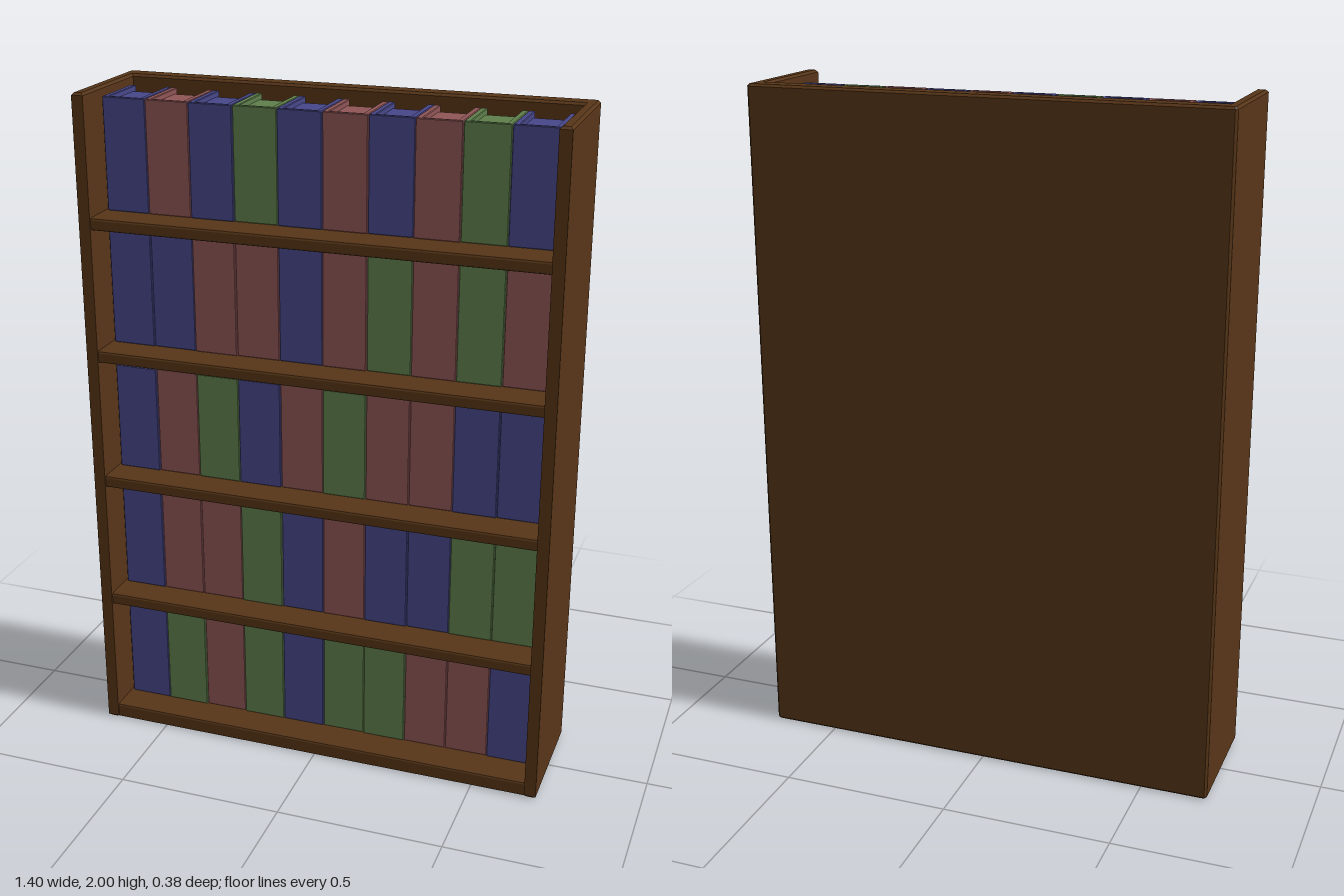
import * as THREE from 'three';
import { RoundedBoxGeometry } from 'three/addons/geometries/RoundedBoxGeometry.js';

const mat = (color) => new THREE.MeshStandardMaterial({ color, flatShading: true });
const wood = mat(0x573517);
const covers = { B: mat(0x48478a), R: mat(0x8f5556), G: mat(0x5f7f4b) };

// Upright U-shaped wall standing on y = 0: two sides joined by one closed side at zClosed.
function uWall(width, zClosed, zOpen, side, closed, height, bevel) {
  const w = width / 2, dir = Math.sign(zOpen - zClosed), zi = zClosed + dir * closed;
  const c = bevel; // chamfer of the outer upright corners
  const plan = [
    [-w, zOpen], [-w, zClosed + dir * c], [-w + c, zClosed], [w - c, zClosed], [w, zClosed + dir * c], [w, zOpen],
    [w - side, zOpen], [w - side, zi], [-w + side, zi], [-w + side, zOpen],
  ];
  const shape = new THREE.Shape(plan.map(([x, z]) => new THREE.Vector2(x, -z)));
  const geo = new THREE.ExtrudeGeometry(shape, {
    depth: height - 2 * bevel, bevelEnabled: true, bevelSegments: 1,
    bevelSize: bevel, bevelThickness: bevel, bevelOffset: -bevel,
  });
  return geo.translate(0, 0, bevel).rotateX(-Math.PI / 2);
}

function add(parent, name, geo, material, x = 0, y = 0, z = 0) {
  const mesh = new THREE.Mesh(geo, material);
  mesh.name = name;
  mesh.position.set(x, y, z);
  parent.add(mesh);
  return mesh;
}

export function createModel() {
  const model = new THREE.Group();
  model.name = 'bookcase';

  // Open-topped case: both sides and the back
  add(model, 'caseWalls', uWall(1.4, -0.19, 0.19, 0.035, 0.06, 2, 0.007), wood);

  // Floor board and four shelves
  for (let i = 0; i < 5; i++) {
    const bottom = i === 0 ? 0 : 0.4 * i + 0.01, top = 0.4 * i + 0.047;
    const board = new RoundedBoxGeometry(1.35, top - bottom, 0.327, 1, 0.007);
    add(model, i === 0 ? 'floorBoard' : 'shelf', board, wood, 0, (top + bottom) / 2, 0.0215);
  }

  // Rows of books, bottom to top; each has a cover with the spine to the front and a recessed page block
  const rows = ['BGRGBGGRRB', 'BRRGBRBBGG', 'BRGBRGRRBB', 'BBRRBRGRGR', 'BRBGBRBRGB'];
  const pitch = 0.131;
  rows.forEach((row, r) => {
    const height = r % 2 ? 0.34 : 0.328;
    const cover = uWall(pitch - 0.001, 0.087, -0.098, 0.017, 0.012, height, 0.002);
    const pages = new THREE.BoxGeometry(pitch - 0.03, height - 0.03, 0.16);
    const rowGroup = new THREE.Group();
    rowGroup.name = 'bookRow';
    rowGroup.position.set(-0.003, 0.4 * r + 0.047, 0);
    rowGroup.rotation.y = 0.006;
    [...row].forEach((key, i) => {
      const book = new THREE.Group();
      book.name = 'book';
      book.position.set((i - 4.5) * pitch, 0, 0.002 * Math.sin(i * 2.3 + r));
      add(book, 'cover', cover, covers[key]);
      add(book, 'pages', pages, covers[key], 0, height / 2, 0);
      rowGroup.add(book);
    });
    model.add(rowGroup);
  });
  return model;
}
